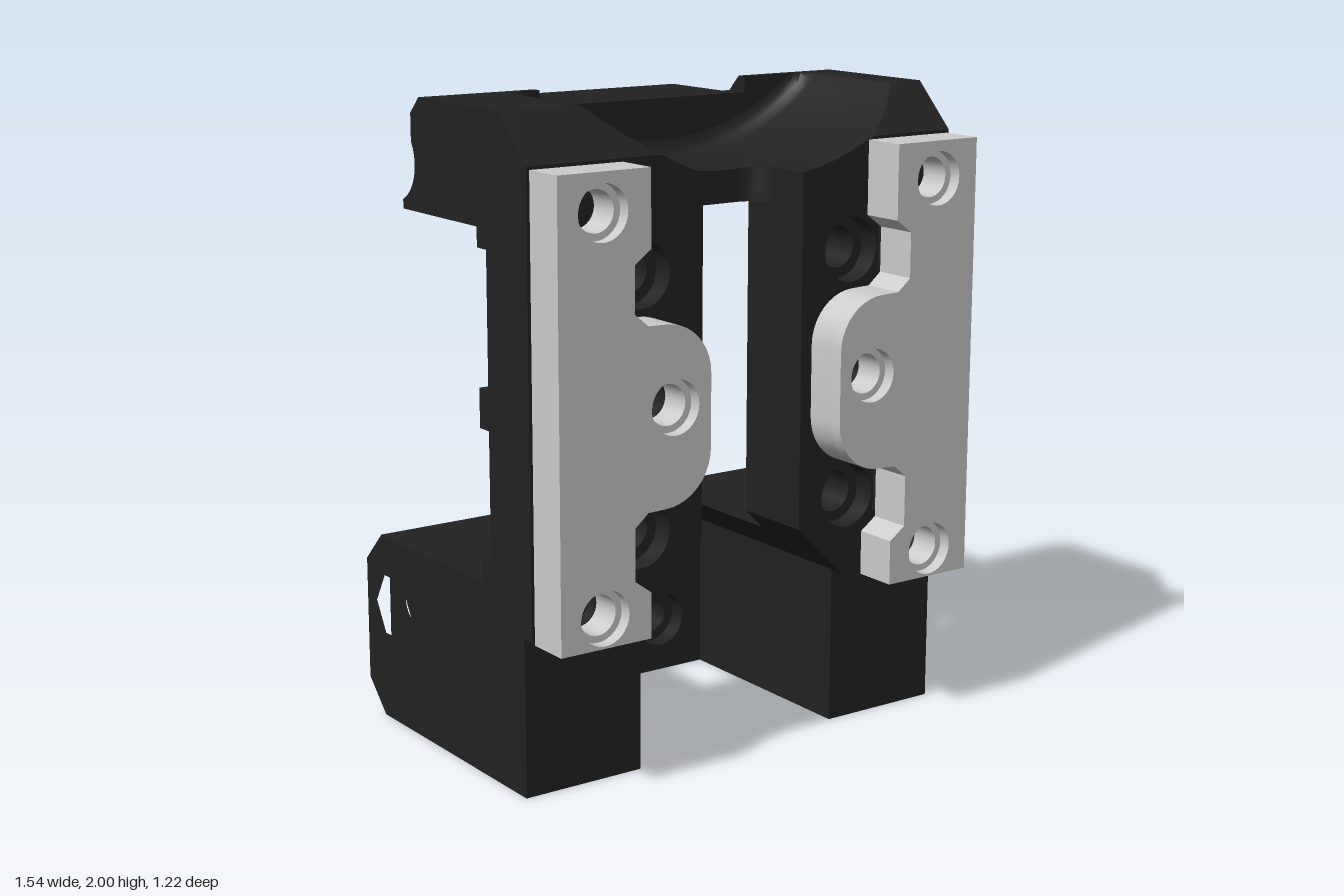
import * as THREE from 'three';
import { toCreasedNormals } from 'three/addons/utils/BufferGeometryUtils.js';

const black = new THREE.MeshStandardMaterial({ color: 0x222222 });
const grey = new THREE.MeshStandardMaterial({ color: 0xcccccc });

// Outline helpers: every outline is a list of [a, b] points
const ring = (a, b, r, n = 32) => Array.from({ length: n }, (_, i) => {
  const t = (i / n) * Math.PI * 2;
  return [a + r * Math.cos(t), b + r * Math.sin(t)];
});
const rect = (a0, a1, b0, b1) => [[a0, b0], [a1, b0], [a1, b1], [a0, b1]];
const arc = (a, b, r, from, to, n = 10) => Array.from({ length: n + 1 }, (_, i) => {
  const t = THREE.MathUtils.degToRad(from + ((to - from) * i) / n);
  return [a + r * Math.cos(t), b + r * Math.sin(t)];
});

// Extrude an outline with holes between two positions along an axis.
// Outline coordinates: axis x uses (z, y), axis y uses (x, z), axis z uses (x, y).
function prism(axis, from, to, outline, holes = [], rule) {
  const map = { x: ([z, y]) => [-z, y], y: ([x, z]) => [x, -z], z: (p) => p }[axis];
  const pts = (l) => l.map((p) => new THREE.Vector2(...map(p)));
  const shape = new THREE.Shape(pts(outline));
  shape.holes = holes.map((h) => new THREE.Path(pts(h)));
  const lo = Math.min(from, to);
  const geo = new THREE.ExtrudeGeometry(shape, { depth: Math.abs(to - from), bevelEnabled: false });
  geo.translate(0, 0, lo);
  if (axis === 'x') geo.rotateY(Math.PI / 2);
  if (axis === 'y') geo.rotateX(-Math.PI / 2);
  if (rule) {
    const p = geo.attributes.position, v = new THREE.Vector3();
    for (let i = 0; i < p.count; i++) {
      rule(v.fromBufferAttribute(p, i));
      p.setXYZ(i, v.x, v.y, v.z);
    }
    geo.computeVertexNormals();
  }
  return toCreasedNormals(geo, 0.5);
}

// Skin a row of (z, y) loops placed along x, closed at both ends
function loft(sections) {
  const out = [];
  const put = (s, i) => out.push(s.x, s.loop[i][1], s.loop[i][0]);
  const n = sections[0].loop.length, last = sections[sections.length - 1];
  for (let k = 0; k + 1 < sections.length; k++) {
    const a = sections[k], b = sections[k + 1];
    for (let i = 0; i < n; i++) {
      const j = (i + 1) % n;
      put(a, i); put(b, i); put(b, j);
      put(a, i); put(b, j); put(a, j);
    }
  }
  for (let i = 1; i + 1 < n; i++) {
    put(sections[0], 0); put(sections[0], i); put(sections[0], i + 1);
    put(last, 0); put(last, i + 1); put(last, i);
  }
  const geo = new THREE.BufferGeometry();
  geo.setAttribute('position', new THREE.Float32BufferAttribute(out, 3));
  geo.computeVertexNormals();
  return toCreasedNormals(geo, 0.5);
}

export function createModel() {
  const model = new THREE.Group();
  const add = (name, geo, mat = black) => {
    const mesh = new THREE.Mesh(geo, mat);
    mesh.name = name;
    model.add(mesh);
  };

  // Rear crossbar: lower half drilled front to back, upper half drilled sideways
  const barHoles = (r) => [-0.2, 0.2].map((x) => ring(x, 0.175, r));
  const barFace = rect(-0.365, 0.365, 0, 0.27);
  add('crossbarFront', prism('z', -0.33, -0.27, barFace, barHoles(0.09)));
  add('crossbarMiddle', prism('z', -0.42, -0.33, barFace, barHoles(0.058)));
  add('crossbarRear', prism('z', -0.52, -0.42, barFace, barHoles(0.058), (v) => {
    if (v.z < -0.5) v.y = Math.max(v.y, 0.1);
  }));
  add('crossbarTop', prism('x', -0.365, 0.365,
    [[-0.27, 0.27], [-0.27, 0.6], [-0.42, 0.6], [-0.52, 0.5], [-0.52, 0.27]], [ring(-0.35, 0.375, 0.066)]));

  // Profile of the top beam arms, with a round relief at the back
  const relief = arc(-0.27, 1.8, 0.12, 33.5, -68);
  const armBack = [[-0.12, 2], [-0.17, 1.95], ...relief, [-0.225, 1.66]];
  const arm = [[0.47, 1.66], [0.47, 1.86], [0.33, 2], ...armBack];

  for (const s of [1, -1]) {
    const side = s > 0 ? 'left' : 'right';
    const mx = (l) => l.map(([x, y]) => [x * s, y]);
    const name = (part) => side + part;

    // Leg foot with a blind hole underneath; one side has a vertical groove
    const groove = s > 0 ? [[0.77, -0.04], [0.69, -0.06], [0.69, -0.19], [0.77, -0.19]] : [];
    add(name('Foot'), prism('y', 0, 0.1,
      mx([[0.365, 0.43], [0.77, 0.43], ...groove, [0.77, -0.52], [0.365, -0.52]]),
      [mx(ring(0.57, 0.25, 0.075))], (v) => { if (v.y < 0.05) v.z = Math.max(v.z, -0.42); }));

    // Leg body and its drilled outer layer
    const rear = [[-0.42, 0.6], [-0.52, 0.5], [-0.52, 0.1]];
    const front = [[0.43, 0.1], [0.43, 0.6]];
    const pin = ring(0.21, 0.36, 0.09);
    add(name('Leg'), prism('x', s * 0.365, s * 0.69, [...front, ...rear], [ring(-0.35, 0.375, 0.066)]));
    if (s > 0) {
      add(name('LegSideFront'), prism('x', 0.69, 0.77, [...front, [-0.04, 0.6], [-0.04, 0.1]], [pin]));
      add(name('LegSideRear'), prism('x', 0.69, 0.77, [[-0.19, 0.1], [-0.19, 0.6], ...rear], [ring(-0.35, 0.375, 0.125)]));
    } else {
      add(name('LegSide'), prism('x', -0.77, -0.69, [...front, ...rear], [pin, ring(-0.35, 0.375, 0.11, 6)]));
    }
    add(name('LegGusset'), prism('z', -0.27, 0.2, mx([[0.365, 0.5], [0.265, 0.6], [0.365, 0.6]])));

    // Upright in layers: belt pockets behind, counterbores in front
    const xi = s > 0 ? 0.2 : 0.17;
    const inner = [[0.375, 0.49], [xi, 0.865 - xi], [xi, 1.66]];
    const upright = mx([[0.77, 0.49], ...inner, [0.77, 1.66]]);
    const bores = (r) => [0.745, 1.52].map((y) => mx(ring(0.387, y, r)));
    const slits = [[0.68, 0.82], [1.44, 1.59]].map(([a, b]) => mx(rect(0.495, 0.515, a, b)));
    const channels = [[0.68, 1.06], [1.2, 1.59]].flatMap(([a, b]) =>
      [0.495, 0.58, 0.67].map((x, i) => mx(rect(x, x + (i ? 0.045 : 0.02), a, b))));
    const pocket = (a, b) => [[0.77, b], [0.46, b], [0.46, a], [0.77, a]];
    add(name('UprightBack'), prism('z', 0.2, 0.25,
      mx([[0.77, 0.49], ...inner, [0.77, 1.66], ...pocket(1.19, 1.6), ...pocket(0.67, 1.07)]), bores(0.066)));
    add(name('UprightChannels'), prism('z', 0.25, 0.33, upright, [...bores(0.066), ...channels]));
    add(name('UprightCore'), prism('z', 0.33, 0.4, upright, [...bores(0.066), ...slits]));
    const screws = [[0.61, 0.57], [0.365, 1.155]];
    add(name('UprightFront'), prism('z', 0.4, 0.47, upright,
      [...bores(0.1), ...slits, ...screws.map(([x, y]) => mx(ring(x, y, 0.06)))]));

    // Front plate with a rounded lobe and three counterbored screw holes
    const plate = mx([[0.76, 0.48], [0.45, 0.48], [0.45, 0.62], [0.505, 0.66], [0.505, 0.82], [0.46, 0.858],
      ...arc(0.4, 1.02, 0.16, 270, 180), ...arc(0.4, 1.24, 0.16, 180, 90),
      [0.46, 1.402], [0.505, 1.44], [0.505, 1.58], [0.45, 1.62], [0.45, 1.85], [0.76, 1.85]]);
    const plateHoles = (r) => [...screws, [0.61, 1.735]].map(([x, y]) => mx(ring(x, y, r)));
    add(name('Plate'), prism('z', 0.47, 0.57, plate, plateHoles(0.062)), grey);
    add(name('PlateFace'), prism('z', 0.57, 0.61, plate, plateHoles(0.083)), grey);

    // Top beam arm with a blind side hole, and its back part beside the rear tab
    const xs = s > 0 ? 0.65 : 0.5;
    add(name('BeamEnd'), prism('x', s * 0.71, s * 0.77, arm, [ring(0.165, 1.87, 0.098)]));
    add(name('BeamArm'), prism('x', s * xs, s * 0.71, arm));
    add(name('BeamBack'), prism('x', s * (s > 0 ? 0.4 : 0.37), s * xs, [[-0.09, 1.66], [-0.09, 2], ...armBack]));
  }

  // Scooped middle of the top beam, set back between the uprights
  const scoop = (x0, x1, steps, zFront) => loft(Array.from({ length: steps + 1 }, (_, i) => {
    const x = x0 + ((x1 - x0) * i) / steps;
    const top = Math.min(2, 2.57 - Math.sqrt(0.81 ** 2 - (x - 0.075) ** 2));
    const zf = zFront(x), b = -0.09, cut = Math.max(0, top - 1.86);
    const fillet = [[0.06, 0], [0.037, 0.005], [0.018, 0.018], [0.005, 0.037], [0, 0.06]]
      .map(([dz, dy]) => [b + dz, Math.min(2, top + dy)]);
    return { x, loop: [[b, 1.66], [zf, 1.66], [zf, Math.min(top, 1.86)], [zf - cut, top], ...fillet] };
  }));
  add('beamScoopRight', scoop(-0.5, -0.17, 14, () => 0.47));
  add('beamScoopLeft', scoop(0.2, 0.65, 18, () => 0.47));
  add('beamScoopCentre', scoop(-0.17, 0.2, 30, (x) => {
    const r = 0.07, d = Math.min(r, x + 0.17, 0.2 - x);
    return 0.24 + r - Math.sqrt(Math.max(0, r * r - (r - d) ** 2));
  }));

  // Rear tab with a cross hole, and the smaller step behind it
  const tab = rect(-0.44, -0.09, 1.66, 1.95);
  add('rearTab', prism('x', -0.37, 0.31, tab, [ring(-0.27, 1.8, 0.066)]));
  add('rearTabEnd', prism('x', 0.31, 0.37, tab, [ring(-0.27, 1.8, 0.115)]));
  add('rearTabShoulder', prism('x', 0.37, 0.4, rect(-0.17, -0.09, 1.66, 1.95)));
  const step = rect(-0.35, 0.03, 1.66, 1.92);
  add('rearStep', prism('z', -0.53, -0.44, step));
  add('rearStepEnd', prism('z', -0.61, -0.53, step, [ring(-0.11, 1.79, 0.075)]));

  return model;
}
